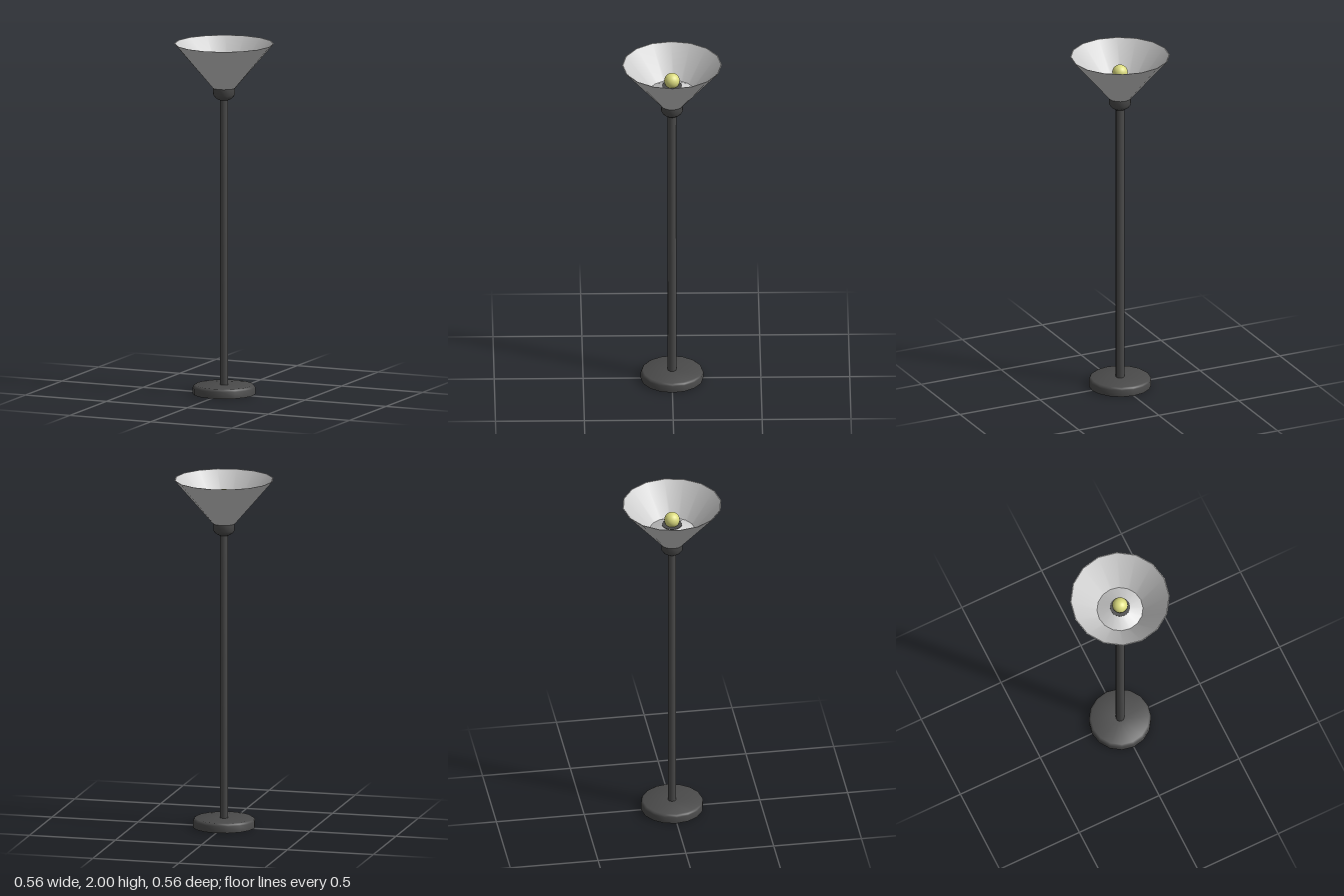
import * as THREE from 'three';
import { toCreasedNormals } from 'three/addons/utils/BufferGeometryUtils.js';

const SIDES = 16;

export function createModel() {
  const lamp = new THREE.Group();
  lamp.name = 'floorLamp';

  const dark = new THREE.MeshStandardMaterial({ color: 0x4a4a4a, side: THREE.DoubleSide });
  const pale = new THREE.MeshStandardMaterial({ color: 0xcccccc, side: THREE.DoubleSide });
  const yellow = new THREE.MeshStandardMaterial({ color: 0xdcdc80 });

  const add = (name, geometry, material) => {
    const mesh = new THREE.Mesh(geometry, material);
    mesh.name = name;
    lamp.add(mesh);
    return mesh;
  };

  // Turned part from [radius, height] pairs, listed bottom to top on the outside
  const turn = (name, profile, material, sides = SIDES) => {
    const points = profile.map(([r, y]) => new THREE.Vector2(r, y));
    const geometry = new THREE.LatheGeometry(points, sides);
    return add(name, toCreasedNormals(geometry, 0.7), material);
  };

  // Hollow foot with a rounded upper edge
  turn('base', [[0.176, 0], [0.176, 0.038], [0.172, 0.047], [0.163, 0.053], [0.02, 0.053]], dark);

  // Straight pole
  turn('pole', [[0, 0.05], [0.024, 0.05], [0.024, 1.7], [0, 1.7]], dark, 12);

  // Rounded collar under the shade
  turn('collar', [[0, 1.68], [0.032, 1.68], [0.05, 1.692], [0.061, 1.708], [0.061, 1.747], [0, 1.747]], dark);

  // Thin flared shade: outer wall, rim, inner wall
  turn('shade', [[0.064, 1.747], [0.281, 2], [0.276, 2], [0.06, 1.752]], pale);

  // Cone inside the shade that rises to the bulb holder
  turn('innerCone', [[0.13, 1.832], [0.056, 1.868]], pale);

  // Bulb holder and bulb
  turn('bulbHolder', [[0.057, 1.745], [0.057, 1.87], [0, 1.87]], dark);
  add('bulb', new THREE.SphereGeometry(0.044, 24, 16), yellow).position.y = 1.9;

  return lamp;
}
